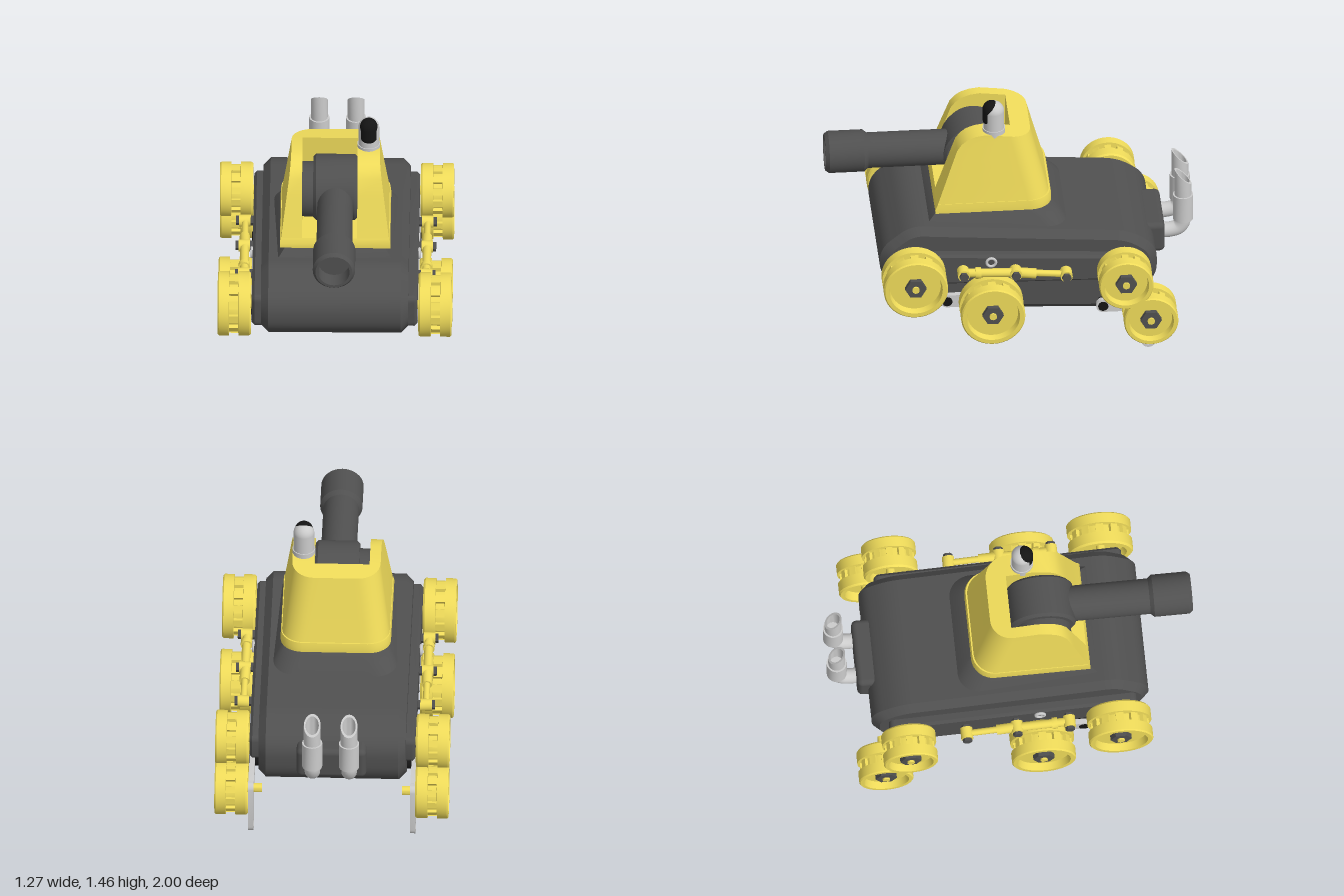
import * as THREE from 'three';
import { toCreasedNormals, mergeVertices } from 'three/addons/utils/BufferGeometryUtils.js';
import { RoundedBoxGeometry } from 'three/addons/geometries/RoundedBoxGeometry.js';

const paint = (color) => new THREE.MeshStandardMaterial({ color });
const grey = paint(0xcccccc), dark = paint(0x505050), yellow = paint(0xf0dc5a), black = paint(0x141414);
const V = (x, y, z) => new THREE.Vector3(x, y, z);
const crease = (geo, angle = 0.6) => toCreasedNormals(geo, angle);

function add(parent, name, geo, mat) {
  const mesh = new THREE.Mesh(geo, mat);
  mesh.name = name;
  parent.add(mesh);
  return mesh;
}

// Cylinder between two points
function rod(a, b, r, seg = 20, r2 = r) {
  const dir = b.clone().sub(a);
  const geo = new THREE.CylinderGeometry(r2, r, dir.length(), seg);
  geo.applyQuaternion(new THREE.Quaternion().setFromUnitVectors(V(0, 1, 0), dir.normalize()));
  geo.translate((a.x + b.x) / 2, (a.y + b.y) / 2, (a.z + b.z) / 2);
  return crease(geo);
}

// Lathe along +x from [radius, x] pairs
const latheX = (pts, seg = 40) =>
  crease(new THREE.LatheGeometry(pts.map((p) => new THREE.Vector2(...p)), seg).rotateZ(-Math.PI / 2));

// Outline with rounded corners from [z, y, radius] points
function roundedShape(pts) {
  const shape = new THREE.Shape(), n = pts.length;
  pts.forEach(([x, y, r], i) => {
    const p = new THREE.Vector2(x, y);
    const toward = (q) => new THREE.Vector2(q[0], q[1]).sub(p).setLength(r).add(p);
    const a = toward(pts[(i + n - 1) % n]), b = toward(pts[(i + 1) % n]);
    if (i) shape.lineTo(a.x, a.y); else shape.moveTo(a.x, a.y);
    shape.quadraticCurveTo(x, y, b.x, b.y);
  });
  shape.closePath();
  return shape;
}

// Side outline (z, y) extruded across x0..x1
function sideExtrude(shape, x0, x1, bevel) {
  const geo = new THREE.ExtrudeGeometry(shape, {
    depth: x1 - x0 - 2 * bevel, curveSegments: 8, bevelEnabled: bevel > 0,
    bevelThickness: bevel, bevelSize: bevel, bevelOffset: -bevel, bevelSegments: 1,
  });
  return crease(geo.translate(0, 0, bevel - x1).rotateY(-Math.PI / 2));
}

// Stacked loops; each cap joins point i with point M-1-i
function loft(levels) {
  const M = levels[0].length, idx = [], top = (levels.length - 1) * M;
  for (let l = 0; l < levels.length - 1; l++)
    for (let i = 0; i < M; i++) {
      const a = l * M + i, b = l * M + (i + 1) % M;
      idx.push(a, b, b + M, a, b + M, a + M);
    }
  for (let i = 0; i < M / 2 - 1; i++) {
    const q = [i, i + 1, M - 2 - i, M - 1 - i];
    for (const [a, b, c] of [[0, 1, 2], [0, 2, 3]]) {
      idx.push(top + q[a], top + q[b], top + q[c]);
      idx.push(q[c], q[b], q[a]);
    }
  }
  const geo = new THREE.BufferGeometry().setFromPoints(levels.flat());
  geo.setIndex(idx);
  return crease(geo);
}

// Outline with a straight front and rounded back corners
function outline(y, hw, zf, zb, r = 0.12) {
  const half = [V(hw, y, zf)];
  for (let k = 0; k <= 8; k++) {
    const t = (k / 8) * Math.PI / 2;
    half.push(V(hw - r + r * Math.cos(t), y, zb + r - r * Math.sin(t)));
  }
  half.push(V(hw - r - 0.03, y, zb));
  return [...half, ...half.slice().reverse().map((p) => V(-p.x, p.y, p.z))];
}

function mirrored(geo) {
  const g = (geo.index ? geo.toNonIndexed() : geo.clone()).scale(-1, 1, 1);
  for (const key of ['position', 'normal']) {
    const a = g.attributes[key].array;
    for (let i = 0; i < a.length; i += 9)
      for (let k = 0; k < 3; k++) [a[i + k], a[i + 6 + k]] = [a[i + 6 + k], a[i + k]];
  }
  return g;
}

function addWheel(side, y, z, R) {
  const put = (name, geo, mat) => add(side, name, geo.translate(0, y, z), mat);
  put('wheel', latheX([[0, 0.5], [0.74 * R, 0.5], [0.8 * R, 0.455], [0.95 * R, 0.455], [R, 0.465], [R, 0.522],
    [0.8 * R, 0.524], [0.8 * R, 0.572], [R, 0.574], [R, 0.628], [0.96 * R, 0.635], [0.83 * R, 0.635],
    [0.79 * R, 0.595], [0, 0.595]]), yellow);
  for (let k = 0; k < 12; k++) {
    const tooth = new THREE.BoxGeometry(0.05, 0.16 * R, 0.24 * R).translate(0.548, 0.83 * R, 0);
    put('wheelTooth', tooth.rotateX((k / 12) * Math.PI * 2), yellow);
  }
  put('hubNut', rod(V(0.58, 0, 0), V(0.622, 0, 0), 0.058, 6), dark);
  put('hubPin', rod(V(0.6, 0, 0), V(0.632, 0, 0), 0.02, 16), yellow);
  put('axle', rod(V(0.38, 0, 0), V(0.51, 0, 0), 0.025, 16), yellow);
}

// Flat link with round ends and a hole in its far end
function link(y0, z0, y1, z1, w) {
  const len = Math.hypot(y1 - y0, z1 - z0);
  const s = new THREE.Shape();
  s.absarc(0, 0, w, Math.PI / 2, Math.PI * 1.5);
  s.absarc(len, 0, w, -Math.PI / 2, Math.PI / 2);
  s.holes.push(new THREE.Path().absarc(len, 0, w * 0.6, 0, Math.PI * 2, true));
  return sideExtrude(s, 0.425, 0.455, 0).rotateX(-Math.atan2(y1 - y0, z1 - z0)).translate(0, y0, z0);
}

function buildSide() {
  const side = new THREE.Group();
  const rail = roundedShape([[0.66, 0.67, 0.04], [-0.69, 0.59, 0.04], [-0.69, 0.44, 0.04], [0.66, 0.47, 0.04]]);
  add(side, 'sideRail', sideExtrude(rail, 0.38, 0.45, 0.015), dark);
  [[0.555, 0.555, 0.175], [0.36, 0.134, 0.175], [0.52, -0.592, 0.148], [0.283, -0.727, 0.148]]
    .forEach((w) => addWheel(side, ...w));
  // Swing arms with pivots, and the hanging tow link
  for (const [y, z, wz] of [[0.36, 0.37, 0.134], [0.283, -0.48, -0.727]]) {
    add(side, 'swingArm', link(y, wz, y, z, 0.038), grey);
    add(side, 'armPivot', rod(V(0.38, y, z), V(0.46, y, z), 0.028, 16), black);
  }
  add(side, 'towLink', link(0.283, -0.727, 0.045, -0.727, 0.04), grey);
  // Linkage of two rods between three joints
  const x = 0.495, A = V(x, 0.565, 0.285), B = V(x, 0.555, 0.0), C = V(x, 0.53, -0.275);
  const mid = V(x, 0.542, -0.11);
  add(side, 'frontRod', rod(A, B, 0.024, 12), yellow);
  add(side, 'rearRod', rod(B, C, 0.018, 12), yellow);
  add(side, 'rearSleeve', rod(B, mid, 0.028, 12), yellow);
  add(side, 'frontCollar', rod(V(x, 0.563, 0.22), V(x, 0.562, 0.19), 0.032, 12), yellow);
  for (const p of [A, B, C]) {
    add(side, 'linkJoint', rod(V(0.465, p.y, p.z), V(0.528, p.y, p.z), 0.033, 16), yellow);
    add(side, 'linkBolt', rod(V(0.43, p.y, p.z), V(0.545, p.y, p.z), 0.026, 6), dark);
  }
  const eye = new THREE.TorusGeometry(0.025, 0.008, 8, 20).rotateY(Math.PI / 2);
  add(side, 'liftingEye', eye.translate(0.455, 0.6, 0.13), grey);
  return side;
}

function addTurret(tank) {
  add(tank, 'turretBase', loft([outline(0.7, 0.36, 0.5, -0.32), outline(0.785, 0.31, 0.46, -0.255),
    outline(0.83, 0.27, 0.41, -0.19)]), dark);
  add(tank, 'turretFloor', loft([outline(0.83, 0.3, 0.42, -0.22), outline(0.855, 0.3, 0.42, -0.22),
    outline(0.885, 0.296, 0.407, -0.213)]), yellow);
  // Tapered shell, open at the front and top around the gun
  const shell = [[0.885, 0.407], [1.0, 0.367], [1.1, 0.333], [1.2, 0.298], [1.235, 0.272],
    [1.26, 0.24], [1.277, 0.195], [1.285, 0.14]].map(([y, zf]) => {
    const t = (y - 0.83) / 0.455;
    const outer = outline(y, 0.3 - 0.06 * t, zf, -0.22 + 0.11 * t);
    const inner = outer.map((p) => V(THREE.MathUtils.clamp(p.x, -0.18, 0.12), y, Math.max(p.z, 0))).reverse();
    const loop = [...outer, ...inner];
    loop.forEach((p) => { p.y -= 0.155 * t * Math.max(0, 0.115 - p.z); });
    return loop;
  });
  add(tank, 'turretShell', loft(shell), yellow);
  // Gun on its drum
  const drum = latheX([[0, -0.12], [0.165, -0.12], [0.18, -0.105], [0.18, 0.105], [0.165, 0.12], [0, 0.12]], 48);
  add(tank, 'gunDrum', drum.translate(0, 1.068, 0.18), dark);
  add(tank, 'drumCheek', rod(V(-0.18, 1.055, 0.18), V(-0.11, 1.055, 0.18), 0.15, 40), dark);
  add(tank, 'barrel', rod(V(0, 1.068, 0.2), V(0, 1.068, 0.8), 0.097, 32), dark);
  const muzzle = latheX([[0.09, 0.76], [0.115, 0.79], [0.115, 0.98], [0.1, 1.0], [0.085, 1.0], [0.085, 0.9], [0, 0.9]]);
  add(tank, 'muzzle', muzzle.rotateY(-Math.PI / 2).translate(0, 1.068, 0), dark);
  // Periscope with a dark window
  const capsule = (r, y0, y1) => new THREE.CapsuleGeometry(r, y1 - y0 - 2 * r, 10, 28).translate(0, (y0 + y1) / 2, 0);
  add(tank, 'periscope', capsule(0.057, 1.2, 1.46).translate(0.18, 0, 0.093), grey);
  add(tank, 'periscopeWindow', capsule(0.05, 1.305, 1.464).translate(0.18, 0, 0.105), black);
  add(tank, 'periscopeCollar', rod(V(0.18, 1.25, 0.093), V(0.18, 1.3, 0.093), 0.062, 28), grey);
}

function addExhausts(tank) {
  add(tank, 'exhaustPlate', new RoundedBoxGeometry(0.38, 0.18, 0.14, 3, 0.03).translate(0, 0.53, -0.77), dark);
  const path = new THREE.CatmullRomCurve3([V(0, 0.53, -0.8), V(0, 0.53, -0.87), V(0, 0.545, -0.92),
    V(0, 0.58, -0.943), V(0, 0.63, -0.945)]);
  const steel = grey.clone();
  steel.side = THREE.DoubleSide;
  for (const x of [-0.1, 0.1]) {
    add(tank, 'exhaustElbow', new THREE.TubeGeometry(path, 20, 0.042, 20).translate(x, 0, 0), grey);
    add(tank, 'muffler', rod(V(x, 0.6, -0.945), V(x, 0.755, -0.945), 0.055, 24), grey);
    // Hollow tip with a slanted mouth
    const tip = new THREE.LatheGeometry([[0.046, 0], [0.046, 0.12], [0.036, 0.12], [0.036, 0]]
      .map((p) => new THREE.Vector2(...p)), 24);
    const pos = tip.attributes.position;
    for (let i = 0; i < pos.count; i++) if (pos.getY(i) > 0.1) pos.setY(i, 0.12 + pos.getZ(i));
    add(tank, 'exhaustTip', crease(tip).translate(x, 0.75, -0.945), steel);
  }
}

export function createModel() {
  const tank = new THREE.Group();
  tank.name = 'toyTank';
  const hull = roundedShape([[0.56, 0.8, 0.08], [0.73, 0.66, 0.08], [0.73, 0.5, 0.07], [0.41, 0.265, 0.08],
    [-0.54, 0.22, 0.06], [-0.78, 0.4, 0.08], [-0.78, 0.6, 0.08], [-0.63, 0.705, 0.08], [0.42, 0.785, 0.03]].reverse());
  add(tank, 'hull', sideExtrude(hull, -0.4, 0.4, 0.04), dark);
  addTurret(tank);
  addExhausts(tank);
  const left = buildSide(), right = new THREE.Group();
  left.name = 'leftRunningGear';
  right.name = 'rightRunningGear';
  left.children.forEach((m) => add(right, m.name, mirrored(m.geometry), m.material));
  tank.add(left, right);
  return tank;
}
